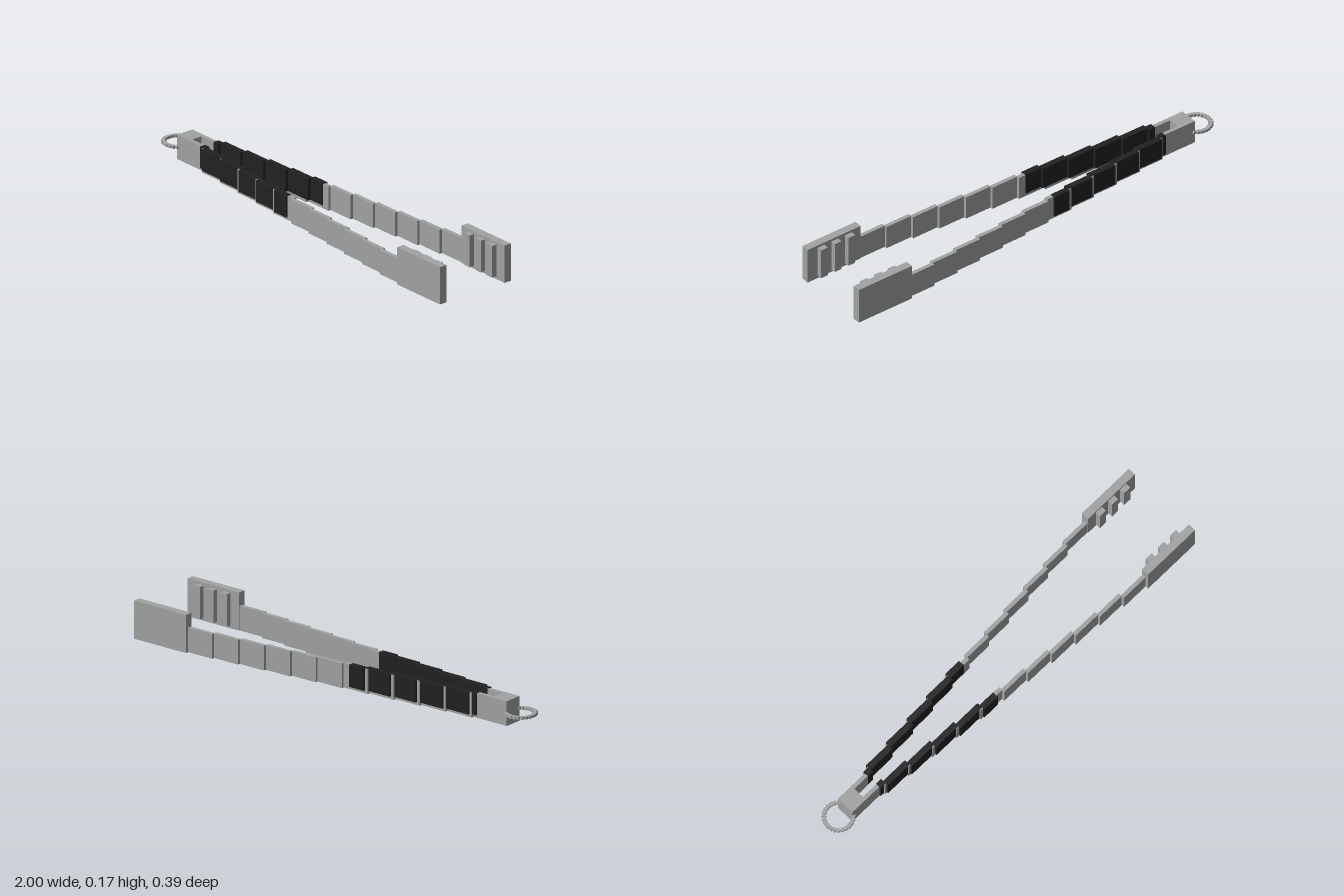
import * as THREE from 'three';

const steel = new THREE.MeshStandardMaterial({ color: 0xa0a3a2 });
steel.name = 'steel';
const rubber = new THREE.MeshStandardMaterial({ color: 0x212121 });
rubber.name = 'rubber';

// Axis-aligned box given by its min/max extents
function box(parent, name, material, x0, x1, y0, y1, z0, z1) {
  const mesh = new THREE.Mesh(new THREE.BoxGeometry(x1 - x0, y1 - y0, z1 - z0), material);
  mesh.position.set((x0 + x1) / 2, (y0 + y1) / 2, (z0 + z1) / 2);
  mesh.name = name;
  parent.add(mesh);
}

// One half of the tongs; side is +1 (front) or -1 (back)
function createArm(side) {
  const arm = new THREE.Group();
  arm.name = side > 0 ? 'frontArm' : 'backArm';
  const part = (name, mat, x0, x1, y0, y1, zIn, zOut) =>
    box(arm, name, mat, x0, x1, y0, y1, Math.min(side * zIn, side * zOut), Math.max(side * zIn, side * zOut));

  // stepped strip, flaring outward toward the tip
  const segments = 12, step = 0.0125, length = 0.13;
  for (let i = 0; i < segments; i++) {
    const x0 = i === 0 ? -0.89 : -0.84 + i * length;
    const zIn = 0.025 + i * step;
    part('armSegment', steel, x0, -0.84 + (i + 1) * length, 0, 0.11, zIn, zIn + 0.018);
  }

  // stepped rubber grip wrapped around the strip
  const gripEdges = [-0.73, -0.70, -0.57, -0.435, -0.305, -0.175, -0.095];
  for (let i = 0; i < gripEdges.length - 1; i++) {
    const zIn = 0.0235 + i * step;
    part('gripSegment', rubber, gripEdges[i], gripEdges[i + 1], 0.013, 0.1115, zIn, zIn + 0.028);
  }

  // gripping pad with three inner ridges
  part('tipPad', steel, 0.72, 1, 0, 0.17, 0.159, 0.195);
  for (const x of [0.785, 0.857, 0.93]) {
    part('tipRidge', steel, x - 0.018, x + 0.018, 0.013, 0.158, 0.135, 0.16);
  }
  return arm;
}

export function createModel() {
  const model = new THREE.Group();
  model.name = 'tongs';
  model.add(createArm(1), createArm(-1));

  // block joining the two arms
  box(model, 'hingeBlock', steel, -0.89, -0.81, 0, 0.11, -0.025, 0.025);

  // hanging ring made of small blocks
  const ring = new THREE.Group();
  ring.name = 'hangingRing';
  const count = 24, radius = 0.062, half = 0.008;
  for (let i = 0; i < count; i++) {
    const a = (i / count) * Math.PI * 2;
    const x = -0.93 + Math.cos(a) * radius;
    const z = Math.sin(a) * radius;
    box(ring, 'ringLink', steel, x - half, x + half, 0.05, 0.062, z - half, z + half);
  }
  model.add(ring);
  return model;
}
